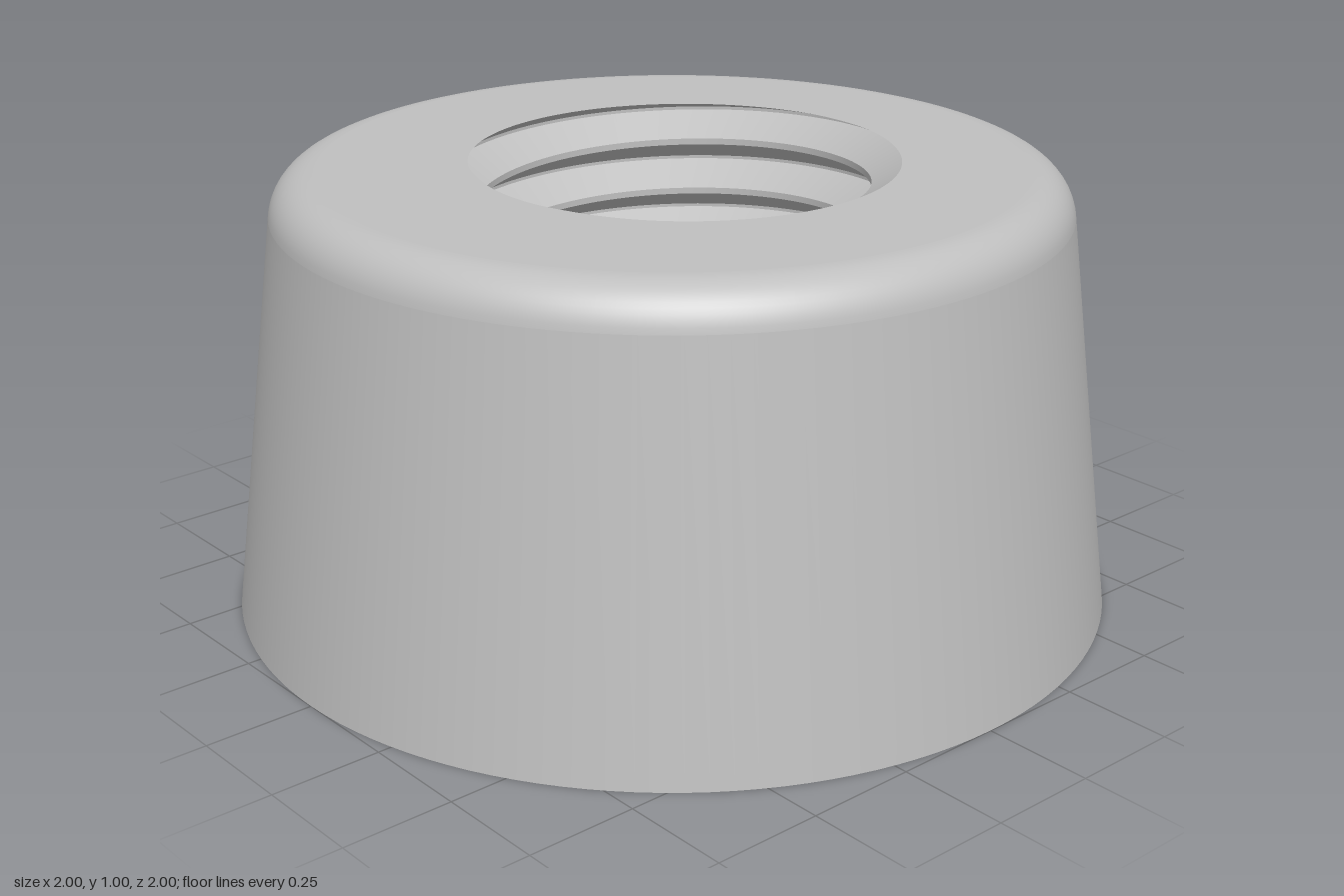
import * as THREE from 'three';
import { mergeGeometries } from 'three/addons/utils/BufferGeometryUtils.js';

const SEG = 128;
const PITCH = 0.122, ROOT = 0.525, CREST = 0.44;
const FLOOR = 0.055, TOP = 1;

// Height of the thread root at angle a
const rootHeight = (a) => TOP + PITCH * (0.5 - a / (2 * Math.PI));

// Bore radius at angle a and height y: a left-handed thread with narrow flats
function boreRadius(a, y) {
  const t = (y - rootHeight(a)) / PITCH;
  const f = Math.abs(t - Math.round(t)); // 0 at the root, 0.5 at the crest
  const k = THREE.MathUtils.clamp((f - 0.03) / 0.41, 0, 1);
  return THREE.MathUtils.lerp(ROOT, CREST, k);
}

// Band between two closed rings, each given as angle -> [radius, height]
function band(ringA, ringB) {
  const pos = [], index = [];
  for (let i = 0; i <= SEG; i++) {
    const a = (i / SEG) * 2 * Math.PI;
    for (const [r, y] of [ringA(a), ringB(a)]) pos.push(r * Math.sin(a), y, r * Math.cos(a));
    if (i < SEG) {
      const n = i * 2;
      index.push(n, n + 2, n + 3, n, n + 3, n + 1);
    }
  }
  const g = new THREE.BufferGeometry();
  g.setAttribute('position', new THREE.Float32BufferAttribute(pos, 3));
  g.setIndex(index);
  g.computeVertexNormals();
  return g;
}

// Helical bands of root, flanks and crest, cut off level at both ends
function threadGeometry() {
  const ring = (f) => (a) => {
    const y = THREE.MathUtils.clamp(rootHeight(a) + PITCH * f, FLOOR, TOP);
    return [boreRadius(a, y), y];
  };
  const stops = [-0.03, 0.03, 0.44, 0.56, 0.97];
  const parts = [];
  for (let turn = -9; turn <= 1; turn++) {
    for (let s = 0; s < 4; s++) parts.push(band(ring(turn + stops[s + 1]), ring(turn + stops[s])));
  }
  return mergeGeometries(parts);
}

export function createModel() {
  const group = new THREE.Group();
  const grey = new THREE.MeshStandardMaterial({ color: 0xbfbfbf });
  grey.name = 'grey';

  const add = (name, geometry) => {
    const mesh = new THREE.Mesh(geometry, grey);
    mesh.name = name;
    group.add(mesh);
  };
  const lathe = (points) =>
    new THREE.LatheGeometry(points.map(([x, y]) => new THREE.Vector2(x, y)), SEG);

  // Tapered body with a rounded shoulder
  add('outerWall', lathe([[1, 0], [0.886, 0.91]]));
  const shoulder = new THREE.CubicBezierCurve(
    new THREE.Vector2(0.886, 0.91), new THREE.Vector2(0.879, 0.963),
    new THREE.Vector2(0.838, 1), new THREE.Vector2(0.785, 1));
  add('roundedShoulder', new THREE.LatheGeometry(shoulder.getPoints(12), SEG));

  // Flat faces and the countersink at the bottom of the bore
  add('topFace', band(() => [0.785, TOP], (a) => [boreRadius(a, TOP), TOP]));
  add('underside', lathe([[0.575, 0], [1, 0]]));
  add('countersink', lathe([[ROOT, FLOOR], [0.575, 0]]));
  add('threadEnd', band((a) => [boreRadius(a, FLOOR), FLOOR], () => [ROOT, FLOOR]));

  // Threaded bore
  add('internalThread', threadGeometry());
  return group;
}
